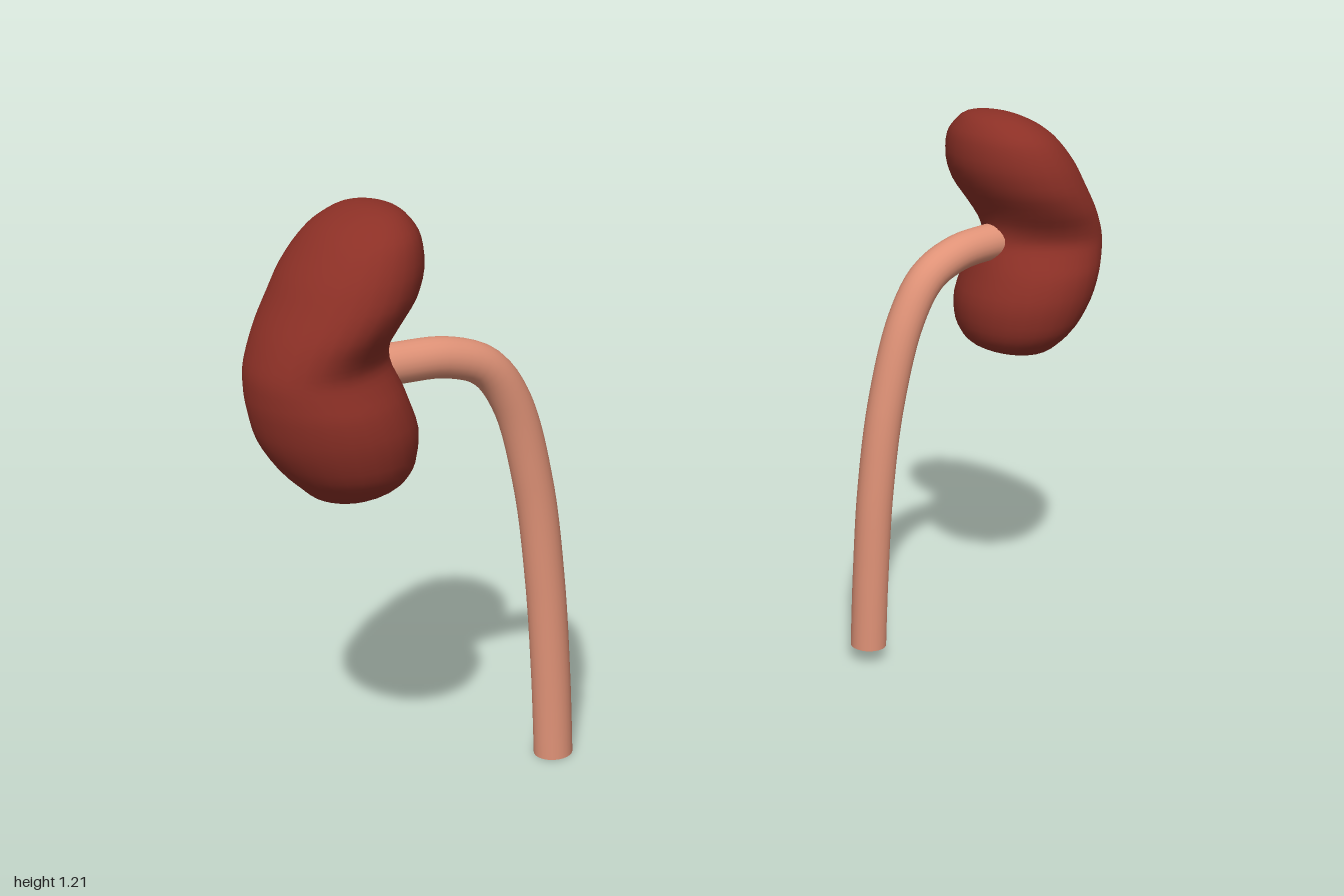
import * as THREE from 'three';

const kidneyRed = new THREE.MeshStandardMaterial({ name: 'kidneyRed', color: 0x8c3026 });
const ureterPink = new THREE.MeshStandardMaterial({ name: 'ureterPink', color: 0xdf9277 });

// Horizontal cross-sections: y, inner x, outer x, front z, back z, pinch towards the hilum
const SECTIONS = [
  [0.662, 0.79, 0.86, 0.04, -0.04, 0],
  [0.669, 0.75, 0.885, 0.075, -0.075, 0],
  [0.69, 0.71, 0.908, 0.108, -0.11, 0],
  [0.73, 0.688, 0.945, 0.14, -0.143, 0],
  [0.79, 0.683, 0.98, 0.157, -0.156, 0],
  [0.85, 0.7, 0.995, 0.165, -0.157, 0.1],
  [0.89, 0.714, 0.998, 0.167, -0.156, 0.28],
  [0.925, 0.726, 0.996, 0.167, -0.155, 0.42],
  [0.96, 0.726, 0.985, 0.166, -0.157, 0.32],
  [1.0, 0.708, 0.967, 0.164, -0.161, 0.12],
  [1.05, 0.675, 0.938, 0.161, -0.165, 0],
  [1.1, 0.656, 0.908, 0.154, -0.164, 0],
  [1.15, 0.657, 0.866, 0.134, -0.149, 0],
  [1.18, 0.67, 0.83, 0.104, -0.122, 0],
  [1.2, 0.69, 0.79, 0.065, -0.09, 0],
  [1.209, 0.718, 0.758, 0.025, -0.045, 0],
];

// Bean-shaped body lofted through the sections; side is +1 (left) or -1 (right)
function kidneyGeometry(side) {
  const pick = (o) => new THREE.CatmullRomCurve3(
    SECTIONS.map((s) => new THREE.Vector3(s[o], s[o + 1], s[o + 2])), false, 'catmullrom');
  const outline = pick(0);
  const depth = pick(3);
  const rows = 45;
  const around = 28;
  const pos = [];
  const index = [];
  const tri = (a, b, c) => (side > 0 ? index.push(a, b, c) : index.push(a, c, b));

  for (let i = 0; i <= rows; i++) {
    const { x: y, y: inner, z: outer } = outline.getPoint(i / rows);
    const { x: front, y: back, z: pinch } = depth.getPoint(i / rows);
    for (let j = 0; j < around; j++) {
      const a = (j / around) * Math.PI * 2;
      const inward = (1 - Math.cos(a)) / 2;
      const x = (inner + outer) / 2 + ((outer - inner) / 2) * Math.cos(a);
      const z = (front + back) / 2 + ((front - back) / 2) * Math.sin(a) * (1 - Math.max(0, pinch) * inward);
      pos.push(side * x, y, z);
    }
  }
  for (let i = 0; i < rows; i++) {
    for (let j = 0; j < around; j++) {
      const k = (j + 1) % around;
      const a = i * around + j, b = i * around + k;
      tri(a, a + around, b);
      tri(b, a + around, b + around);
    }
  }
  // Close the two poles
  const bottom = pos.length / 3;
  pos.push(side * 0.825, 0.66, 0, side * 0.738, 1.211, -0.01);
  for (let j = 0; j < around; j++) {
    const k = (j + 1) % around;
    tri(bottom, j, k);
    tri(bottom + 1, rows * around + k, rows * around + j);
  }
  const geo = new THREE.BufferGeometry();
  geo.setAttribute('position', new THREE.Float32BufferAttribute(pos, 3));
  geo.setIndex(index);
  geo.computeVertexNormals();
  return geo;
}

// Tube from the hilum down to a flat, capped end
function ureter(name, points) {
  const group = new THREE.Group();
  group.name = name;
  const radius = 0.04;
  const z = 0.004;
  const path = new THREE.CatmullRomCurve3(points.map(([x, y]) => new THREE.Vector3(x, y, z)));
  const tube = new THREE.Mesh(new THREE.TubeGeometry(path, 56, radius, 24), ureterPink);
  tube.name = name + 'Tube';
  const cap = new THREE.Mesh(new THREE.CircleGeometry(radius, 24), ureterPink);
  cap.name = name + 'End';
  const [x, y] = points[points.length - 1];
  cap.rotation.x = Math.PI / 2;
  cap.position.set(x, y, z);
  group.add(tube, cap);
  return group;
}

export function createModel() {
  const model = new THREE.Group();
  model.name = 'kidneysWithUreters';

  for (const [side, name] of [[1, 'leftKidney'], [-1, 'rightKidney']]) {
    const kidney = new THREE.Mesh(kidneyGeometry(side), kidneyRed);
    kidney.name = name;
    model.add(kidney);
  }

  model.add(
    ureter('leftUreter', [
      [0.8, 0.925], [0.71, 0.923], [0.63, 0.91], [0.555, 0.87], [0.5, 0.78],
      [0.453, 0.6], [0.43, 0.4], [0.423, 0.2], [0.422, 0.1], [0.422, 0.035],
    ]),
    ureter('rightUreter', [
      [-0.8, 0.9], [-0.7, 0.9], [-0.6, 0.893], [-0.52, 0.86], [-0.466, 0.78],
      [-0.423, 0.6], [-0.402, 0.38], [-0.395, 0.18], [-0.394, 0.08], [-0.394, 0],
    ]),
  );
  return model;
}
